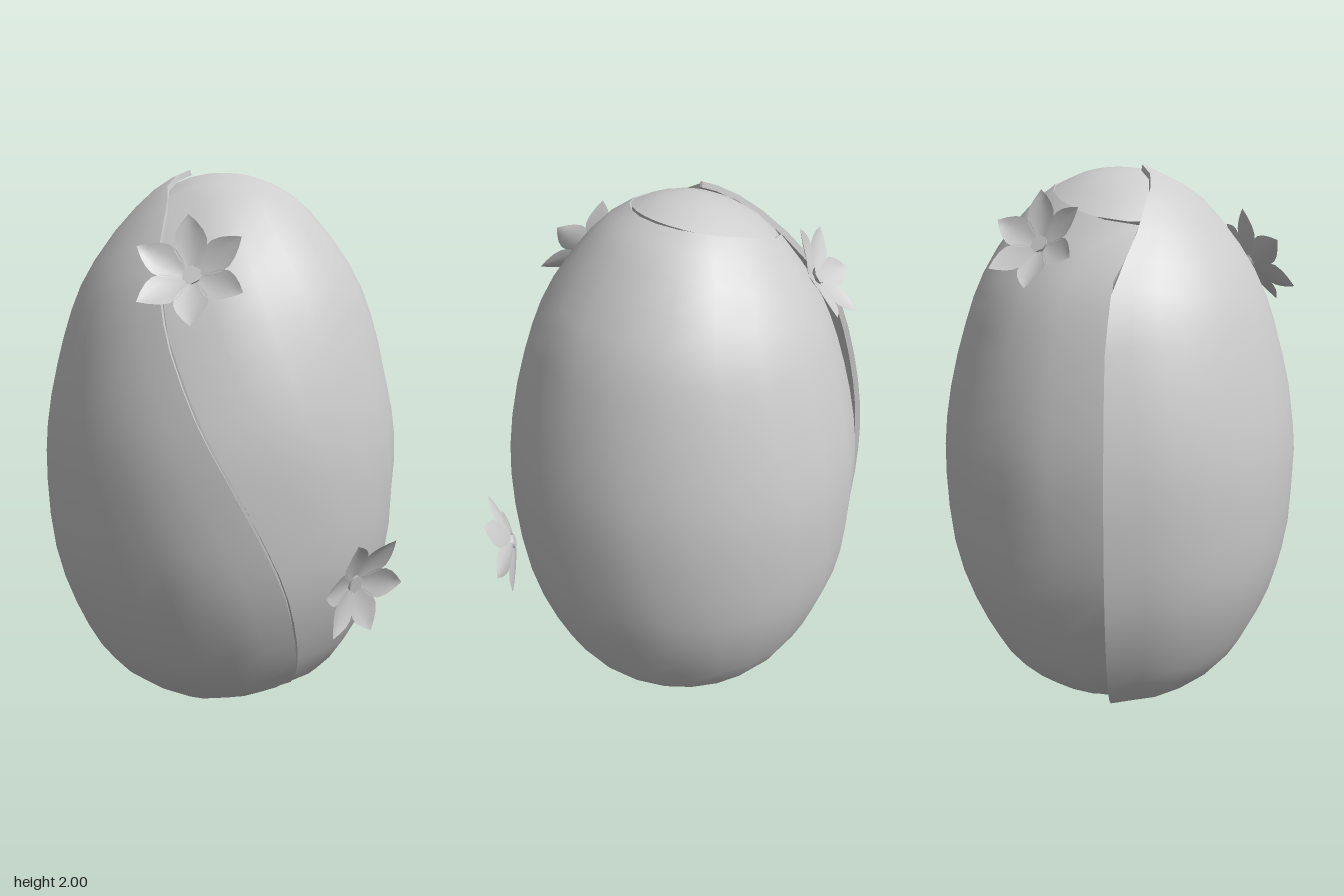
import * as THREE from 'three';
import { mergeGeometries, mergeVertices } from 'three/addons/utils/BufferGeometryUtils.js';

const { lerp, clamp, degToRad } = THREE.MathUtils;
const AXIS_X = -0.055; // the egg's axis
const THICKNESS = 0.02;

// Egg profile (radius, height) from bottom to top, addressed by t = 0..11
const PROFILE = [[0, 0], [0.21, 0.05], [0.405, 0.17], [0.525, 0.35], [0.615, 0.6], [0.645, 0.9],
  [0.63, 1.15], [0.565, 1.43], [0.475, 1.65], [0.305, 1.87], [0.145, 1.97], [0, 1.995]];

// Crack angles in degrees (0 = front, 90 = +x), one for each profile point
const CRACK_RIGHT = [88, 88, 86, 77, 67, 53, 41, 29, 22, 11, -30, -30];
const CRACK_LEFT = [-80, -80, -80, -80, -80, -80, -80, -80, -78, -60, -36, -30];

function sample(list, t) {
  const i = clamp(Math.floor(t), 0, list.length - 2);
  return lerp(list[i], list[i + 1], t - i);
}

// Smooth profile through the points
function profileAt(t) {
  const i = clamp(Math.floor(t), 0, PROFILE.length - 2), f = t - i;
  const p = (k) => (k < 0 ? [-0.21, 0.05] : k > 11 ? [-0.145, 1.97] : PROFILE[k]);
  return [0, 1].map((c) => {
    const a = p(i - 1)[c], b = p(i)[c], d = p(i + 1)[c], e = p(i + 2)[c];
    return b + 0.5 * f * (d - a + f * (2 * a - 5 * b + 4 * d - e + f * (3 * (b - d) + e - a)));
  });
}

// Point on the egg at an angle and profile position, moved out by offset
function eggPoint(degrees, t, offset) {
  const [r, y] = profileAt(t);
  const n = new THREE.Vector2(r / 0.416, y - 0.9).normalize();
  const a = degToRad(degrees), radius = Math.max(0, r + n.x * offset);
  return new THREE.Vector3(AXIS_X + radius * Math.sin(a), y + n.y * offset, radius * Math.cos(a));
}

// Edge of the bottom piece, highest at the foot of the right crack
function bottomEdge(degrees) {
  const s = Math.sin(degToRad(degrees)), c = Math.cos(degToRad(degrees));
  return 1.1 - 0.1 * c + 0.85 * s * s * (s > 0 ? 1 : clamp(c * 3, 0, 1));
}

// Edge of the round top piece, a circle beside the axis
function topEdge(degrees) {
  const a = degToRad(degrees), k = -0.075 * Math.sin(a) + 0.04 * Math.cos(a);
  const r = k + Math.sqrt(0.265 ** 2 - 0.0072 + k * k);
  return 9 + (0.305 - r) / 0.16;
}

// Smooth sheet of points fn(u, v), with u to the right and v up
function sheet(fn, cols, rows) {
  const pos = [], index = [];
  for (let j = 0; j <= rows; j++) {
    for (let i = 0; i <= cols; i++) pos.push(...fn(i / cols, j / rows).toArray());
  }
  for (let j = 0; j < rows; j++) {
    for (let i = 0; i < cols; i++) {
      const a = j * (cols + 1) + i, d = a + cols + 1;
      index.push(a, a + 1, d + 1, a, d + 1, d);
    }
  }
  let g = new THREE.BufferGeometry();
  g.setAttribute('position', new THREE.Float32BufferAttribute(pos, 3));
  g.setIndex(index);
  g = mergeVertices(g, 1e-5);
  g.computeVertexNormals();
  return g;
}

// Piece of shell with outside, inside and rim; fn(u, v, depth)
function shellPiece(fn, cols, rows) {
  return mergeGeometries([
    sheet((u, v) => fn(u, v, 0), cols, rows),
    sheet((u, v) => fn(1 - u, v, THICKNESS), cols, rows),
    sheet((u, v) => fn(u, 0, THICKNESS * (1 - v)), cols, 1),
    sheet((u, v) => fn(u, 1, THICKNESS * v), cols, 1),
    sheet((u, v) => fn(0, v, THICKNESS * (1 - u)), 1, rows),
    sheet((u, v) => fn(1, v, THICKNESS * u), 1, rows),
  ]);
}

// Back shell, from the right crack round to the left crack
function backShell(u, v, depth) {
  const low = bottomEdge(lerp(87, 279, u)) + 0.03;
  const high = topEdge(lerp(11, 288, u));
  const t = lerp(low, high, v);
  const angle = lerp(sample(CRACK_RIGHT, t) + 0.5, sample(CRACK_LEFT, t) + 359, u);
  return eggPoint(angle, t, -depth);
}

// Front panel, swung outward along its left edge and pointed on top
function frontPanel(u, v, depth) {
  const t = lerp(bottomEdge(lerp(-80, 86, u)) + 0.03, 10.2, v);
  const angle = lerp(sample(CRACK_LEFT, t), sample(CRACK_RIGHT, t) - 0.5, u);
  const p = eggPoint(angle, t, 0.004 + 0.018 * clamp(t - 9, 0, 1) - depth);
  p.x -= 0.055 * (1 - u) ** 2 * clamp((10 - t) / 2.5, 0, 1);
  return p;
}

// One pointed petal, cupped toward +z
function petalGeometry(radius) {
  const halfWidths = [0.07, 0.19, 0.27, 0.285, 0.23, 0.13, 0];
  return sheet((u, v) => {
    const side = u * 2 - 1;
    const x = side * sample(halfWidths, v * 6) * radius;
    const z = radius * (0.25 * v ** 1.4 + 0.06 * side * side * Math.sin(v * Math.PI));
    return new THREE.Vector3(x, radius * lerp(0.14, 1, v), z);
  }, 4, 6);
}

function flower(name, material, position, normal, radius, spin) {
  const group = new THREE.Group();
  group.name = name;
  const petal = petalGeometry(radius);
  for (let i = 0; i < 6; i++) {
    const mesh = new THREE.Mesh(petal, material);
    mesh.name = 'petal';
    mesh.rotation.z = spin + (i * Math.PI) / 3;
    group.add(mesh);
  }
  const hub = new THREE.Mesh(new THREE.CylinderGeometry(radius * 0.17, radius * 0.13, 0.02, 6), material);
  hub.name = 'flowerCentre';
  hub.rotation.x = Math.PI / 2;
  group.add(hub);
  group.position.set(...position);
  group.lookAt(group.position.clone().add(new THREE.Vector3(...normal)));
  return group;
}

export function createModel() {
  const model = new THREE.Group();
  model.name = 'crackedEgg';
  const grey = new THREE.MeshStandardMaterial({ color: 0xcccccc, side: THREE.DoubleSide });
  grey.name = 'paleGrey';

  const add = (name, geometry) => {
    const mesh = new THREE.Mesh(geometry, grey);
    mesh.name = name;
    model.add(mesh);
  };

  // Shell pieces
  add('backShell', shellPiece(backShell, 14, 20));
  add('frontPanel', shellPiece(frontPanel, 12, 22));
  add('topPiece', shellPiece((u, v, depth) =>
    eggPoint(u * 360, lerp(topEdge(u * 360) + 0.07, 11, v), -0.004 - depth), 20, 5));
  add('bottomPiece', shellPiece((u, v, depth) =>
    eggPoint(u * 360, lerp(0, bottomEdge(u * 360) - 0.02, v), -depth - 0.012 * v), 20, 4));

  // Flowers
  model.add(flower('frontFlower', grey, [0.27, 1.635, 0.43], [0.54, 0.47, 0.7], 0.2, 0.1));
  model.add(flower('sideFlower', grey, [0.615, 0.59, 0], [0.97, -0.24, 0], 0.2, 0.45));
  model.add(flower('backFlower', grey, [-0.49, 1.76, -0.16], [-0.79, 0.55, -0.3], 0.18, 0.2));
  return model;
}
